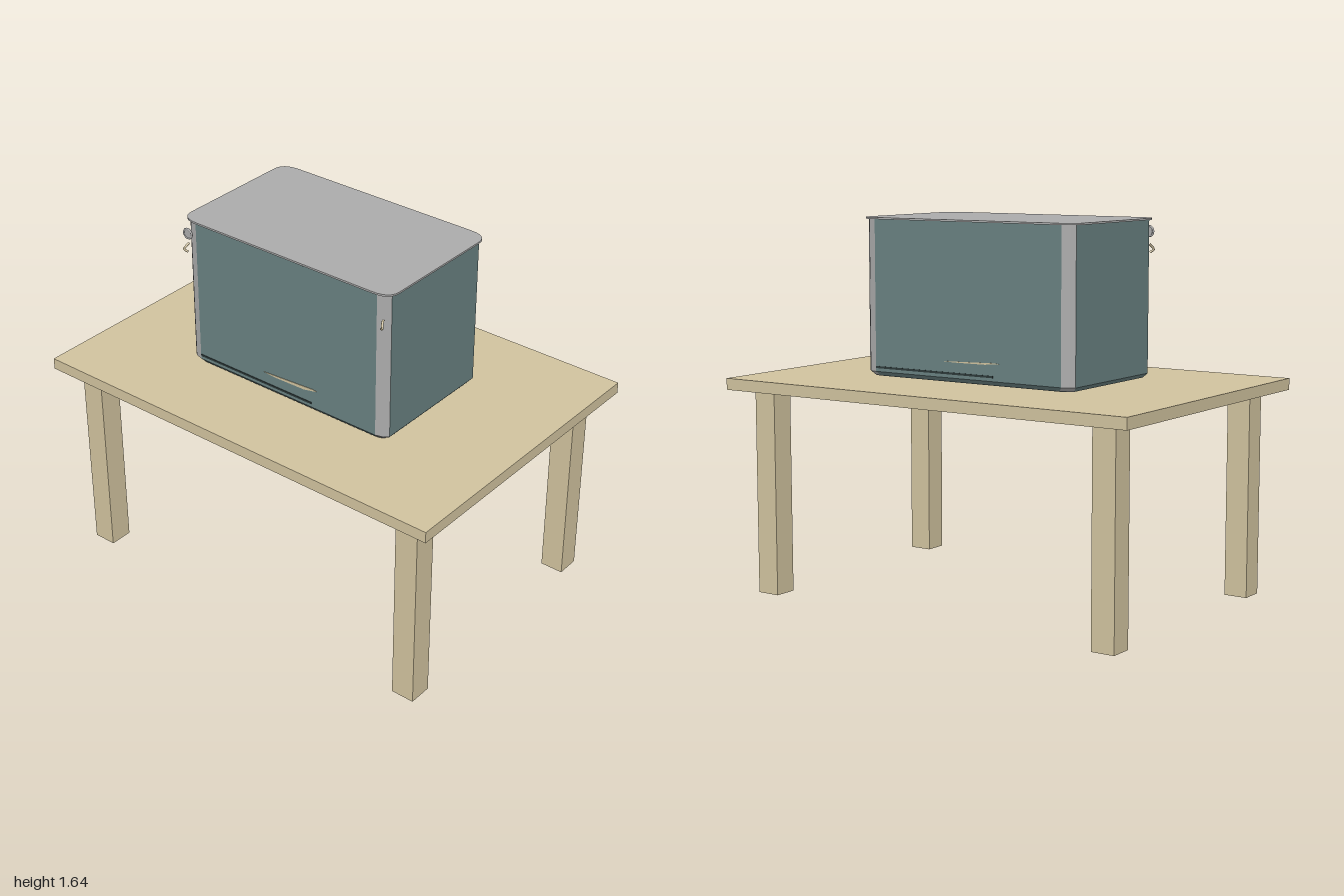
import * as THREE from 'three';

export function createModel() {
  const model = new THREE.Group();
  model.name = 'tankOnTable';
  const paint = (name, color, side = THREE.FrontSide) => {
    const m = new THREE.MeshStandardMaterial({ color, side });
    m.name = name;
    return m;
  };
  const wood = paint('wood', 0xd0c29e);
  const glass = paint('tealGlass', 0x688080, THREE.DoubleSide);
  const metal = paint('greyMetal', 0xababab, THREE.DoubleSide);
  const dark = paint('darkTrim', 0x2c3838);

  const add = (name, geometry, material, x = 0, y = 0, z = 0, parent = model) => {
    const mesh = new THREE.Mesh(geometry, material);
    mesh.name = name;
    mesh.position.set(x, y, z);
    parent.add(mesh);
    return mesh;
  };

  // Table
  add('tableTop', new THREE.BoxGeometry(2, 0.05, 1.365), wood, 0, 0.921);
  for (const x of [-0.853, 0.853]) {
    for (const z of [-0.552, 0.552]) {
      add('tableLeg', new THREE.BoxGeometry(0.105, 0.897, 0.105), wood, x, 0.4485, z);
    }
  }

  // Tank outline: two-facet corners joined by flat walls, front left to front right and round
  const corner = [[0.472, 0.315], [0.507, 0.305], [0.525, 0.288]];
  const outline = [];
  for (const [sx, sz] of [[1, 1], [1, -1], [-1, -1], [-1, 1]]) {
    const pts = sx * sz > 0 ? corner : [...corner].reverse();
    for (const [x, z] of pts) outline.push([x * sx, z * sz]);
  }
  const levels = [[0.957, 0.015], [0.975, 0], [1.63, 0]]; // height, inset
  const point = (i, [y, inset]) => {
    const [x, z] = outline[i % 12];
    return [x - Math.sign(x) * inset, y, z - Math.sign(z) * inset];
  };
  const strips = (wanted) => {
    const pos = [];
    for (let i = 0; i < 12; i++) {
      if ((i % 3 === 2) !== wanted) continue; // every third strip is a wall
      for (let k = 0; k < 2; k++) {
        const a = point(i, levels[k]), b = point(i + 1, levels[k]);
        const c = point(i + 1, levels[k + 1]), d = point(i, levels[k + 1]);
        pos.push(...a, ...b, ...c, ...a, ...c, ...d);
      }
    }
    const g = new THREE.BufferGeometry();
    g.setAttribute('position', new THREE.Float32BufferAttribute(pos, 3));
    g.computeVertexNormals();
    return g;
  };
  const tank = new THREE.Group();
  tank.name = 'tank';
  model.add(tank);
  add('glassWalls', strips(true), glass, 0, 0, 0, tank);
  add('cornerPosts', strips(false), metal, 0, 0, 0, tank);

  // Flat horizontal plates: tank floor and rounded lid
  const plate = (w, d, r, thick) => {
    const s = new THREE.Shape();
    s.moveTo(-w + r, -d);
    s.lineTo(w - r, -d).quadraticCurveTo(w, -d, w, -d + r * 0.75);
    s.lineTo(w, d - r * 0.75).quadraticCurveTo(w, d, w - r, d);
    s.lineTo(-w + r, d).quadraticCurveTo(-w, d, -w, d - r * 0.75);
    s.lineTo(-w, -d + r * 0.75).quadraticCurveTo(-w, -d, -w + r, -d);
    return new THREE.ExtrudeGeometry(s, { depth: thick, bevelEnabled: false, curveSegments: 6 })
      .rotateX(-Math.PI / 2);
  };
  add('tankFloor', plate(0.505, 0.298, 0.05, 0.004), glass, 0, 0.956, 0, tank);
  add('lid', plate(0.541, 0.327, 0.085, 0.008), metal, 0, 1.628, 0, tank);

  // Sand slivers and the base seam showing at front and back
  const sliver = new THREE.Shape();
  sliver.moveTo(-0.115, 1.048);
  sliver.lineTo(-0.06, 1.043).lineTo(0.1, 1.046).lineTo(0.17, 1.06);
  sliver.lineTo(0.15, 1.064).lineTo(0.02, 1.056);
  for (const side of [1, -1]) {
    const face = new THREE.Group();
    face.name = side > 0 ? 'frontDetails' : 'backDetails';
    face.rotation.y = side > 0 ? 0 : Math.PI;
    tank.add(face);
    const sand = add('sandLine', new THREE.ExtrudeGeometry(sliver, { depth: 0.003, bevelEnabled: false }),
      wood, 0, 0, 0.314, face);
    if (side < 0) {
      sand.scale.y = 0.5;
      sand.position.y = 0.52;
    }
    add('baseSeam', new THREE.BoxGeometry(0.61, 0.009, 0.004), dark, -0.165, 0.994, 0.315, face);
  }

  // Small round dial and two hooks on the front posts
  const dial = add('dial', new THREE.CylinderGeometry(0.02, 0.02, 0.01, 12), metal, -0.497, 1.577, 0.334);
  dial.rotation.x = Math.PI / 2;
  add('dialRim', new THREE.TorusGeometry(0.021, 0.005, 6, 16), metal, -0.497, 1.577, 0.336);
  for (const side of [-1, 1]) {
    const path = new THREE.CatmullRomCurve3([
      [0.506, 1.488, 0.33], [0.519, 1.5, 0.34], [0.513, 1.513, 0.333], [0.508, 1.525, 0.32],
    ].map(([x, y, z]) => new THREE.Vector3(x * side, y, z)));
    add('hook', new THREE.TubeGeometry(path, 8, 0.005, 6), wood);
  }
  return model;
}
